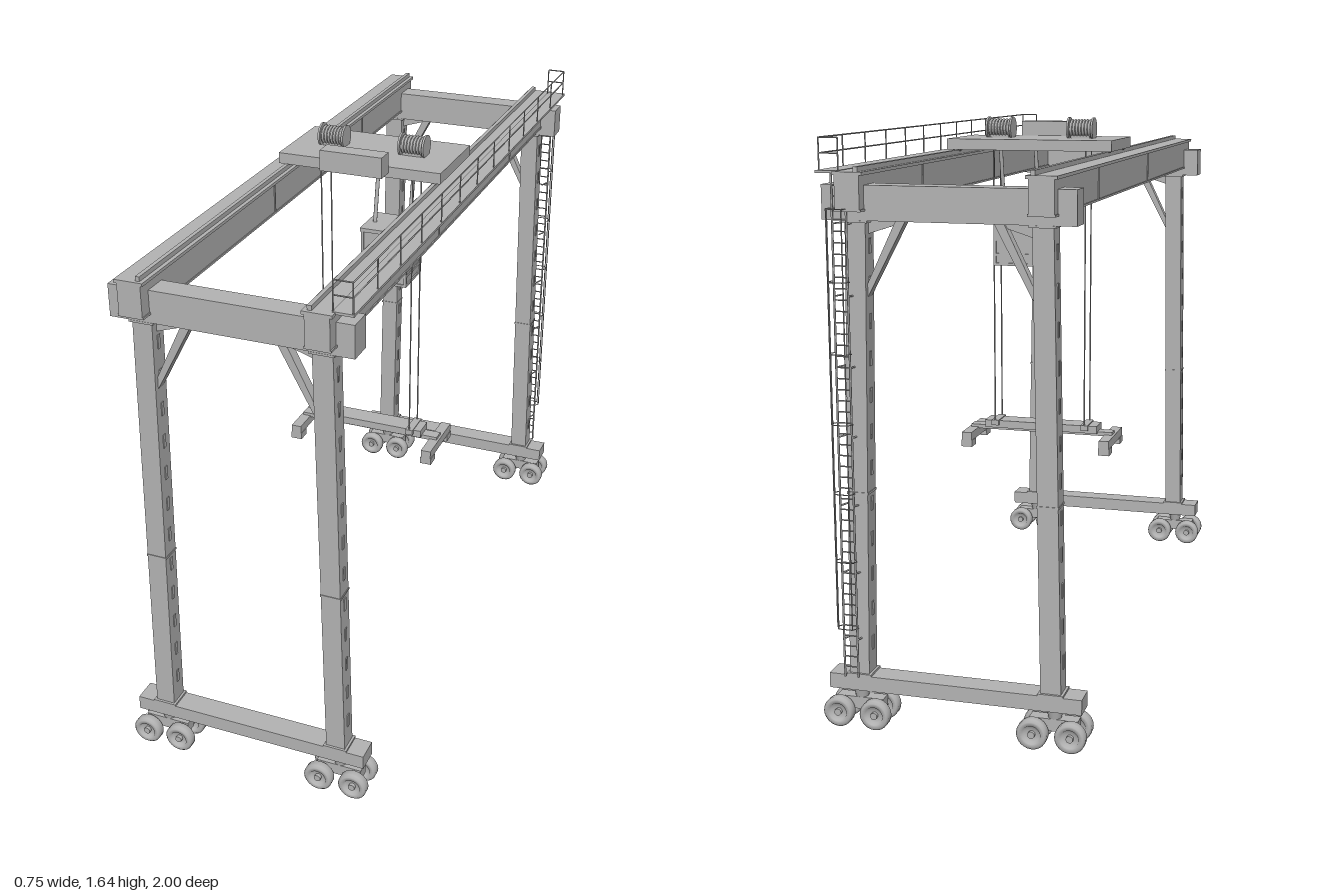
import * as THREE from 'three';

const grey = new THREE.MeshStandardMaterial({ color: 0xb4b4b4 });
grey.name = 'painted steel grey';

// Named sub-group
function part(parent, name) {
  const g = new THREE.Group();
  g.name = name;
  parent.add(g);
  return g;
}

function add(parent, name, geo) {
  const m = new THREE.Mesh(geo, grey);
  m.name = name;
  parent.add(m);
  return m;
}

// Box given by its limits on each axis
function box(parent, name, x0, x1, y0, y1, z0, z1) {
  const m = add(parent, name, new THREE.BoxGeometry(x1 - x0, y1 - y0, z1 - z0));
  m.position.set((x0 + x1) / 2, (y0 + y1) / 2, (z0 + z1) / 2);
  return m;
}

// Round bar between two points
function rod(parent, name, a, b, r, sides = 6) {
  const p = new THREE.Vector3(...a), q = new THREE.Vector3(...b);
  const m = add(parent, name, new THREE.CylinderGeometry(r, r, p.distanceTo(q), sides));
  m.position.copy(p).add(q).multiplyScalar(0.5);
  m.quaternion.setFromUnitVectors(new THREE.Vector3(0, 1, 0), q.sub(p).normalize());
  return m;
}

// Outline in x, y extruded along z, centred on z
function plate(parent, name, pts, depth, z) {
  const shape = new THREE.Shape(pts.map(([x, y]) => new THREE.Vector2(x, y)));
  const m = add(parent, name, new THREE.ExtrudeGeometry(shape, { depth, bevelEnabled: false }));
  m.position.z = z - depth / 2;
  return m;
}

// Tyre with a recessed rim, turned about the z axis
const tyreProfile = [[0.008, -0.006], [0.022, -0.006], [0.026, -0.016], [0.037, -0.016], [0.043, -0.010],
  [0.043, 0.010], [0.037, 0.016], [0.026, 0.016], [0.022, 0.006], [0.008, 0.006]];
const wheelGeo = new THREE.LatheGeometry(tyreProfile.map(([r, h]) => new THREE.Vector2(r, h)), 24).rotateX(Math.PI / 2);

// One four-wheel bogie under a leg
function buildBogie(parent, x, z) {
  const g = part(parent, 'wheelBogie');
  g.position.set(x, 0, z);
  box(g, 'bogieBeam', -0.068, 0.068, 0.045, 0.08, -0.018, 0.018);
  const pivot = add(g, 'pivot', new THREE.CylinderGeometry(0.024, 0.018, 0.03, 16));
  pivot.position.y = 0.093;
  for (const wx of [-0.053, 0.053]) {
    rod(g, 'axle', [wx, 0.044, -0.055], [wx, 0.044, 0.055], 0.01, 12);
    for (const wz of [-0.039, 0.039]) {
      add(g, 'wheel', wheelGeo).position.set(wx, 0.044, wz);
    }
  }
}

// Portal frame at one end: sill beam, tapered legs, knee braces, cross beam
function buildPortal(parent, z) {
  const g = part(parent, 'portalFrame');
  box(g, 'sillBeam', -0.36, 0.36, 0.107, 0.15, z - 0.034, z + 0.034);
  box(g, 'crossBeam', -0.342, 0.342, 1.408, 1.5, z - 0.035, z + 0.035);
  for (const s of [-1, 1]) {
    const side = part(g, 'leg');
    const outer = y => 0.304 - 0.0165 * y, inner = y => 0.247 - 0.0165 * y;
    plate(side, 'legColumn', [[s * inner(0.15), 0.15], [s * outer(0.15), 0.15],
      [s * outer(1.41), 1.41], [s * inner(1.41), 1.41]], 0.058, z);
    for (const y of [0.15, 0.67, 1.402]) {
      const w = y === 0.67 ? 0.002 : 0.007;
      const a = s * (inner(y) - w), b = s * (outer(y) + w);
      box(side, 'legFlange', Math.min(a, b), Math.max(a, b), y, y + 0.006, z - 0.029 - w, z + 0.029 + w);
    }
    // Small welded strips up both leg faces
    for (let y = 0.22; y < 1.35; y += 0.1) {
      for (const x of [s * inner(y + 0.02), s * outer(y + 0.02)]) {
        box(side, 'weldedStrip', x - 0.0025, x + 0.0025, y, y + 0.04, z - 0.006, z + 0.006);
      }
    }
    plate(side, 'kneeBrace', [[s * 0.23, 1.2], [s * 0.23, 1.235], [s * 0.145, 1.41], [s * 0.118, 1.41]], 0.03, z);
    plate(side, 'gusset', [[s * 0.23, 1.37], [s * 0.23, 1.41], [s * 0.13, 1.41], [s * 0.13, 1.402]], 0.012, z);
    buildBogie(g, s * 0.278, z);
  }
}

// Main girder with flanges, splice plates and trolley rail
function buildGirder(parent, s) {
  const g = part(parent, 'mainGirder');
  const c = s * 0.258;
  box(g, 'girderWeb', c - 0.034, c + 0.034, 1.435, 1.528, -0.985, 0.998);
  box(g, 'topFlange', c - 0.041, c + 0.041, 1.526, 1.535, -0.985, 1);
  box(g, 'bottomFlange', c - 0.037, c + 0.037, 1.433, 1.439, -0.985, 0.998);
  const r = s * 0.235;
  box(g, 'trolleyRail', r - 0.006, r + 0.006, 1.535, 1.548, -0.98, 0.99);
  for (const z of [0.195, -0.505]) {
    box(g, 'splicePlate', c - 0.0365, c + 0.0365, 1.436, 1.53, z - 0.003, z + 0.003);
  }
}

function buildWalkway(parent) {
  const g = part(parent, 'walkway');
  box(g, 'walkwayDeck', 0.29, 0.348, 1.53, 1.537, -0.975, 0.98);
  const n = 12, z0 = -0.955, z1 = 0.977;
  for (let i = 0; i <= n; i++) {
    const z = z0 + (z1 - z0) * i / n;
    rod(g, 'railPost', [0.345, 1.535, z], [0.345, 1.62, z], 0.002);
  }
  for (const y of [1.58, 1.62]) {
    rod(g, 'handRail', [0.345, y, z0], [0.345, y, z1], 0.002);
    for (const z of [z0, z1]) rod(g, 'endRail', [0.292, y, z], [0.345, y, z], 0.002);
  }
  for (const z of [z0, z1]) rod(g, 'endPost', [0.292, 1.535, z], [0.292, 1.62, z], 0.002);
}

// Ladder with safety cage behind the rear left leg
function buildLadder(parent) {
  const g = part(parent, 'ladder');
  for (const x of [0.27, 0.309]) rod(g, 'ladderStile', [x, 0.15, -0.963], [x, 1.535, -0.963], 0.003);
  for (let y = 0.18; y < 1.52; y += 0.03) rod(g, 'rung', [0.27, y, -0.963], [0.309, y, -0.963], 0.002);
  for (let y = 0.26; y < 1.42; y += 0.19) {
    for (const x of [0.27, 0.309]) rod(g, 'wallBracket', [x, y, -0.963], [x - 0.012, y, -0.93], 0.0025);
  }
  for (const [x, z] of [[0.32, -0.978], [0.31, -0.996], [0.27, -0.996]]) {
    rod(g, 'cageBar', [x, 0.3, z], [x, 1.44, z], 0.0018);
  }
  const hoop = [[0.309, -0.963], [0.32, -0.978], [0.31, -0.996], [0.27, -0.996], [0.259, -0.978], [0.27, -0.963]];
  for (let y = 0.3; y < 1.45; y += 0.19) {
    for (let i = 1; i < hoop.length; i++) {
      rod(g, 'cageHoop', [hoop[i - 1][0], y, hoop[i - 1][1]], [hoop[i][0], y, hoop[i][1]], 0.0015, 4);
    }
  }
}

// Trolley deck with two rope drums and a machinery cabinet
function buildTrolley(parent) {
  const g = part(parent, 'trolley');
  box(g, 'trolleyDeck', -0.258, 0.256, 1.55, 1.583, -0.19, 0.085);
  box(g, 'machineryCabinet', -0.1, 0.095, 1.565, 1.628, 0.085, 0.142);
  for (const x of [-0.235, 0.235]) {
    for (const z of [-0.15, 0.045]) rod(g, 'trolleyWheel', [x - 0.012, 1.556, z], [x + 0.012, 1.556, z], 0.012, 16);
  }
  for (const c of [-0.133, 0.125]) {
    const drum = part(g, 'ropeDrum');
    rod(drum, 'drumCore', [c - 0.038, 1.611, -0.05], [c + 0.038, 1.611, -0.05], 0.025, 20);
    for (const e of [-0.038, 0.038]) {
      rod(drum, 'drumFlange', [c + e - 0.003, 1.611, -0.05], [c + e + 0.003, 1.611, -0.05], 0.035, 24);
    }
    for (let i = -3; i <= 3; i++) {
      const turn = add(drum, 'ropeTurn', new THREE.TorusGeometry(0.026, 0.004, 6, 20));
      turn.rotation.y = Math.PI / 2;
      turn.position.set(c + i * 0.0095, 1.611, -0.05);
    }
    box(drum, 'drumStand', c - 0.03, c + 0.03, 1.58, 1.592, -0.07, -0.03);
  }
}

// Operator cabin hung under the trolley
function buildCabin(parent) {
  const g = part(parent, 'operatorCabin');
  box(g, 'cabinBody', -0.005, 0.135, 1.19, 1.352, -0.09, 0.04);
  box(g, 'cabinRoof', -0.012, 0.142, 1.35, 1.362, -0.098, 0.046);
  box(g, 'cabinFloor', -0.009, 0.139, 1.186, 1.194, -0.094, 0.044);
  box(g, 'sillBand', -0.008, 0.138, 1.216, 1.224, -0.093, 0.043);
  for (const x of [-0.005, 0.135]) {
    for (const z of [-0.09, 0.04]) box(g, 'cornerPost', x - 0.004, x + 0.004, 1.19, 1.352, z - 0.004, z + 0.004);
  }
  for (const x of [0.012, 0.125]) rod(g, 'hangerRod', [x, 1.36, -0.02], [x, 1.555, -0.055], 0.006, 10);
}

// Lifting spreader with ropes
function buildSpreader(parent) {
  const g = part(parent, 'spreader');
  box(g, 'mainBar', -0.188, 0.184, 0.65, 0.674, -0.052, 0.014);
  box(g, 'slidingBar', -0.235, 0.235, 0.641, 0.654, -0.038, 0);
  for (const s of [-1, 1]) {
    const c = s * 0.226;
    box(g, 'endBeam', c - 0.016, c + 0.016, 0.617, 0.645, -0.12, 0.08);
    for (const z of [-0.1, 0.06]) box(g, 'gripFoot', c - 0.018, c + 0.018, 0.598, 0.619, z - 0.02, z + 0.02);
    for (const z of [-0.057, 0.02]) rod(g, 'hoistRope', [s * 0.148, 0.66, z], [s * 0.148, 1.555, z], 0.0022);
    box(g, 'ropeAnchor', s * 0.148 - 0.012, s * 0.148 + 0.012, 0.66, 0.677, -0.062, 0.025);
  }
}

export function createModel() {
  const model = new THREE.Group();
  model.name = 'gantryCrane';
  for (const z of [-0.918, 0.925]) buildPortal(model, z);
  for (const s of [-1, 1]) buildGirder(model, s);
  buildWalkway(model);
  buildLadder(model);
  buildTrolley(model);
  buildCabin(model);
  buildSpreader(model);
  // Side outlines mirrored across x wind either way, so both faces are drawn
  grey.side = THREE.DoubleSide;
  return model;
}
